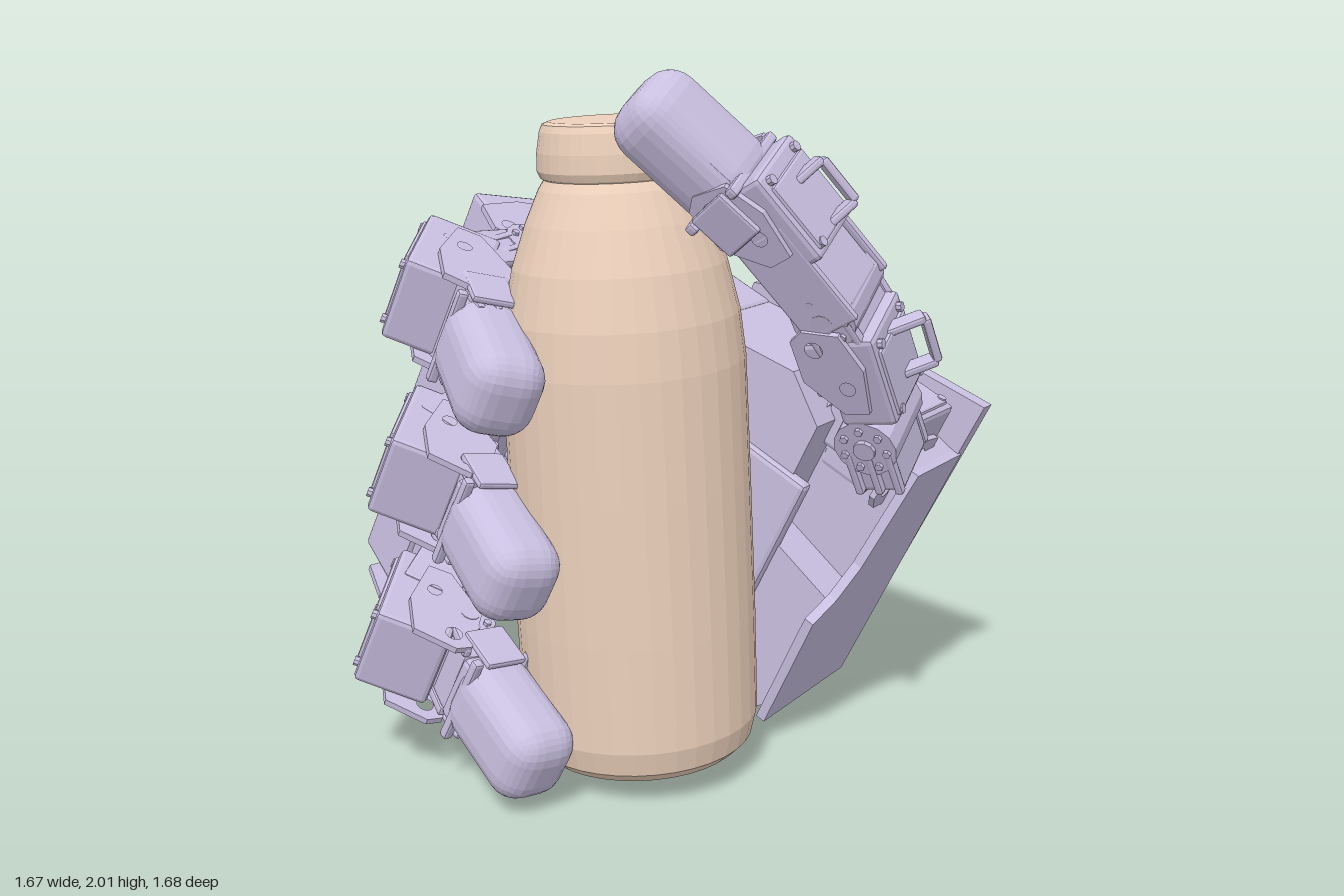
import * as THREE from 'three';
import { RoundedBoxGeometry } from 'three/addons/geometries/RoundedBoxGeometry.js';

const V = (x, y, z) => new THREE.Vector3(x, y, z);

export function createModel() {
  const model = new THREE.Group();
  const metal = new THREE.MeshStandardMaterial({ color: 0xc9bfe0, flatShading: true });
  const clay = new THREE.MeshStandardMaterial({ color: 0xecd0bb, flatShading: true });

  const add = (parent, name, geo, x = 0, y = 0, z = 0, mat = metal) => {
    const m = new THREE.Mesh(geo, mat);
    m.name = name;
    m.position.set(x, y, z);
    parent.add(m);
    return m;
  };
  const box = (w, h, d, r = 0.015) => new RoundedBoxGeometry(w, h, d, 1, r);

  // Places a part with local x on the hinge axis and local y along the finger
  const place = (parent, part, pos, dir, axis) => {
    const y = dir.clone().normalize();
    const z = axis.clone().cross(y).normalize();
    const x = y.clone().cross(z);
    part.setRotationFromMatrix(new THREE.Matrix4().makeBasis(x, y, z));
    part.position.copy(pos);
    parent.add(part);
    return part;
  };

  // Slab cut from an outline in xy, reaching from z0 to z1
  const slab = (pts, z0, z1, holes = []) => {
    const s = new THREE.Shape(pts.map(p => new THREE.Vector2(p[0], p[1])));
    holes.forEach(([x, y, r]) => s.holes.push(new THREE.Path().absarc(x, y, r, 0, Math.PI * 2, true)));
    const g = new THREE.ExtrudeGeometry(s, { depth: z1 - z0, bevelEnabled: false, curveSegments: 6 });
    return g.translate(0, 0, z0);
  };

  // Servo motor: case, cover, screws and a pair of perforated side arms
  function motor(name, w, l, d) {
    const g = new THREE.Group();
    g.name = name;
    add(g, 'motorCase', box(w, l, d));
    add(g, 'motorCover', box(w * 0.85, l * 0.75, 0.02, 0.008), 0, -l * 0.05, d / 2);
    add(g, 'innerBlock', box(w * 0.7, l * 0.65, 0.1), 0, 0.02, -d / 2 - 0.02);
    const a = l / 2, b = d / 2 + 0.06;
    const arm = slab([[-b, a * 0.2], [-b, a + 0.02], [-b + 0.04, a + 0.05], [0, a + 0.03], [0.04, a * 0.4], [0.02, -a * 0.6], [-0.05, -a * 0.6]],
      0, 0.018, [[-b + 0.06, a - 0.01, 0.025], [-0.02, 0, 0.022]]);
    for (const s of [-1, 1]) {
      const m = add(g, 'sideArm', arm, s > 0 ? w / 2 + 0.018 : -w / 2, 0, 0);
      m.rotation.y = -Math.PI / 2;
      for (const sy of [-1, 1]) {
        const k = add(g, 'screw', new THREE.CylinderGeometry(0.014, 0.014, 0.016, 8), s * w * 0.35, sy * l * 0.38, d / 2 + 0.006);
        k.rotation.x = Math.PI / 2;
      }
    }
    return g;
  }

  // Hinge: drum on the local x axis, with screw rings and a ribbed fork on one side
  function joint(name, w, r, side) {
    const g = new THREE.Group();
    g.name = name;
    add(g, 'drum', new THREE.CylinderGeometry(r, r, w, 14)).rotation.z = Math.PI / 2;
    add(g, 'forkBlock', box(w * 0.85, r * 1.8, r * 1.5), 0, side * r * 0.95, 0);
    for (const s of [-1, 1]) {
      add(g, 'hub', new THREE.CylinderGeometry(r * 0.35, r * 0.35, 0.025, 10), s * w / 2, 0, 0).rotation.z = Math.PI / 2;
      for (let i = 0; i < 7; i++) {
        const t = i / 7 * Math.PI * 2;
        add(g, 'ringScrew', new THREE.CylinderGeometry(0.012, 0.012, 0.02, 6),
          s * w / 2, Math.cos(t) * r * 0.7, Math.sin(t) * r * 0.7).rotation.z = Math.PI / 2;
      }
      for (const k of [-1, 0, 1]) add(g, 'forkRib', box(0.03, r * 1.6, 0.025, 0.008), s * (w / 2 - 0.012), side * r, k * r * 0.65);
    }
    return g;
  }

  // Fingertip: rounded block held by a rectangular collar
  function tip(w, len, d) {
    const g = new THREE.Group();
    g.name = 'fingertip';
    add(g, 'pad', new RoundedBoxGeometry(w, len, d, 3, 0.085));
    add(g, 'padRoot', box(w * 0.85, len * 0.4, d * 0.8), 0, -len * 0.3, 0);
    const y = -len / 2;
    for (const s of [-1, 1]) {
      add(g, 'collarSide', box(0.022, 0.14, 0.13, 0.008), s * (w / 2 + 0.012), y + 0.01, 0);
      add(g, 'collarBar', box(w + 0.04, 0.03, 0.03, 0.008), 0, y + 0.06, s * d * 0.4);
    }
    return g;
  }

  // Connecting bracket between two motors
  function bracket() {
    const g = new THREE.Group();
    g.name = 'bracket';
    add(g, 'web', box(0.21, 0.28, 0.15));
    for (const s of [-1, 1]) add(g, 'flange', box(0.022, 0.32, 0.17, 0.008), s * 0.12, 0, 0);
    return g;
  }

  // Open rectangular loop standing beside a motor
  function cableLoop(w, l) {
    const g = new THREE.Group();
    g.name = 'cableLoop';
    for (const s of [-1, 1]) {
      add(g, 'loopSide', box(w, 0.025, 0.05, 0.008), 0, s * l / 2, 0);
      add(g, 'loopRail', box(0.025, l, 0.05, 0.008), s * w / 2, 0, 0);
    }
    return g;
  }

  // Bottle, leaning slightly
  const profile = [[0, 0.01], [0.25, 0.01], [0.29, 0], [0.322, 0.03], [0.34, 0.1], [0.343, 0.4], [0.342, 0.8], [0.34, 1.14],
    [0.328, 1.27], [0.297, 1.41], [0.253, 1.53], [0.212, 1.62], [0.195, 1.645], [0.204, 1.65], [0.213, 1.67], [0.211, 1.72],
    [0.201, 1.775], [0.192, 1.794], [0.175, 1.8], [0, 1.8]].map(p => new THREE.Vector2(...p));
  const bottle = add(model, 'bottle', new THREE.LatheGeometry(profile, 36), 0.222, 0.068, 0.137, clay);
  bottle.quaternion.setFromUnitVectors(V(0, 1, 0), V(-0.07, 1.8, 0.05).normalize());

  // Hand frame: x away from the fingers, y across the knuckles, z out of the palm
  const n = V(0.3, 0, 0.954).normalize();
  const e1 = V(0.42, 0.9, -0.13).cross(n).normalize();
  const e2 = n.clone().cross(e1);
  const hand = new THREE.Group();
  hand.name = 'hand';
  hand.setRotationFromMatrix(new THREE.Matrix4().makeBasis(e1, e2, n));
  model.add(hand);

  // Palm: back plate, deep body and a lower step under the thumb
  add(hand, 'palmBackPlate', slab([[0.32, 0.27], [0.25, 0.18], [-0.44, 0.03], [-0.5, 0.04], [-0.51, 1.2], [-0.46, 1.22], [0.33, 1.29]],
    -0.6, -0.55, [[0.2, 0.4, 0.012], [-0.4, 0.2, 0.012]]));
  add(hand, 'palmBody', slab([[0.31, 0.27], [0.24, 0.18], [-0.42, 0.05], [-0.47, 0.1], [-0.47, 1.17], [-0.1, 1.22], [0.04, 1.12], [0.04, 0.74], [0.31, 0.68]],
    -0.56, -0.16));
  add(hand, 'thumbShelf', slab([[0.31, 0.6], [0.31, 1.12], [-0.02, 1.18], [-0.02, 0.6]], -0.56, -0.3));
  const rim = add(hand, 'palmSideWall', slab([[-0.56, 0.26], [-0.1, 0.24], [-0.07, 0.64], [-0.16, 0.7], [-0.22, 0.8], [-0.28, 1.12], [-0.56, 1.12]],
    0, 0.03), 0.335, 0, 0);
  rim.rotation.y = -Math.PI / 2;
  add(hand, 'palmPad', box(0.5, 0.7, 0.05), -0.15, 0.6, -0.16);
  for (let i = 0; i < 3; i++) add(hand, 'palmFootRib', box(0.1, 0.06, 0.24), -0.31 + i * 0.19, 0.08 + i * 0.04, -0.33);
  add(model, 'footPeg', box(0.06, 0.14, 0.07), 0.195, 0.07, -0.25);

  // Three fingers curled round the bottle, each opening a little more than the last
  const hinge = V(0, -1, 0);
  for (let i = 0; i < 3; i++) {
    const f = new THREE.Group();
    f.name = ['indexFinger', 'middleFinger', 'ringFinger'][i];
    f.position.y = 1.08 - i * 0.43;
    hand.add(f);
    const at = (x, z, sx, sz, y = 0) => V(x + i * sx, y, z + i * sz);
    const knuckle = at(-0.6, -0.32, 0.03, 0, -0.02 - i * 0.015);
    const mid = at(-0.92, 0.08, 0.11, 0.06, -0.02);
    const distal = at(-0.79, 0.46, 0.2, 0.03, -i * 0.01);
    const end = at(-0.52, 0.635, 0.255, -0.005, -i * 0.015);
    add(f, 'knuckleHousing', box(0.28, 0.26, 0.28), -0.57 + i * 0.045, -0.03 - i * 0.015, -0.42);
    place(f, joint('knuckleJoint', 0.29, 0.095, 1), knuckle, V(-0.5, 0, 0.8), hinge);
    place(f, motor('proximalLink', 0.22, 0.34, 0.15), knuckle.clone().lerp(mid, 0.5), mid.clone().sub(knuckle), hinge);
    const lower = at(-1.085, -0.16, 0.115, 0.115, -0.05 - i * 0.02);
    const along = V(-0.35, 0, 0.9);
    place(f, motor('proximalMotor', 0.25, 0.38, 0.23), lower, along, hinge);
    place(f, cableLoop(0.09, 0.24), lower.clone().add(V(0.03, -0.17, 0.03)), along, hinge);
    place(f, joint('middleJoint', 0.28, 0.09, 1), mid, V(0.1, 0, 1), hinge);
    const motorPos = at(-0.94, 0.415, 0.205, 0.07, -i * 0.015);
    place(f, bracket(), mid.clone().lerp(motorPos, 0.5), motorPos.clone().sub(mid), hinge);
    place(f, motor('distalMotor', 0.255, 0.34, 0.22), motorPos, V(0.55, 0, 0.85), hinge);
    place(f, joint('distalJoint', 0.25, 0.08, 1), distal, V(0.8, 0, 0.4), hinge);
    const d = end.clone().sub(distal);
    place(f, tip(0.25, 0.38, 0.225), end.clone().addScaledVector(d.clone().normalize(), -0.075), d, hinge);
  }

  // Thumb reaching up to the bottle cap, its base motor square with the palm
  place(hand, motor('thumbBaseMotor', 0.25, 0.27, 0.22), V(0.13, 1.14, -0.4), V(0, 0, 1), V(-1, 0, 0));
  const thumb = new THREE.Group();
  thumb.name = 'thumb';
  model.add(thumb);
  const ax = V(-0.41, 0.43, -0.8).normalize();
  const root = V(0.65, 1.04, -0.36), bend = V(0.67, 1.42, -0.17), neck = V(0.57, 1.65, 0.02), top = V(0.42, 1.87, 0.21);
  const rise = bend.clone().sub(root), reach = V(-0.2, 0.46, 0.33);
  place(thumb, joint('thumbRootJoint', 0.25, 0.09, -1), root, rise, ax);
  place(thumb, motor('thumbLowerMotor', 0.24, 0.28, 0.16), V(0.7, 1.24, -0.27), rise, ax);
  place(thumb, cableLoop(0.14, 0.14), V(0.78, 1.28, -0.32), rise, V(-0.4, 0.1, 0.8));
  place(thumb, joint('thumbMiddleJoint', 0.25, 0.09, -1), bend, V(-0.1, 0.45, 0.3), ax);
  place(thumb, bracket(), V(0.645, 1.52, -0.1), reach, ax);
  place(thumb, motor('thumbUpperMotor', 0.24, 0.27, 0.16), V(0.63, 1.66, -0.01), reach, ax);
  place(thumb, cableLoop(0.14, 0.14), V(0.7, 1.69, -0.06), reach, V(-0.4, 0.1, 0.8));
  const td = top.clone().sub(neck);
  place(thumb, tip(0.25, 0.4, 0.22), top.clone().addScaledVector(td.clone().normalize(), -0.085), td, ax);

  return model;
}
